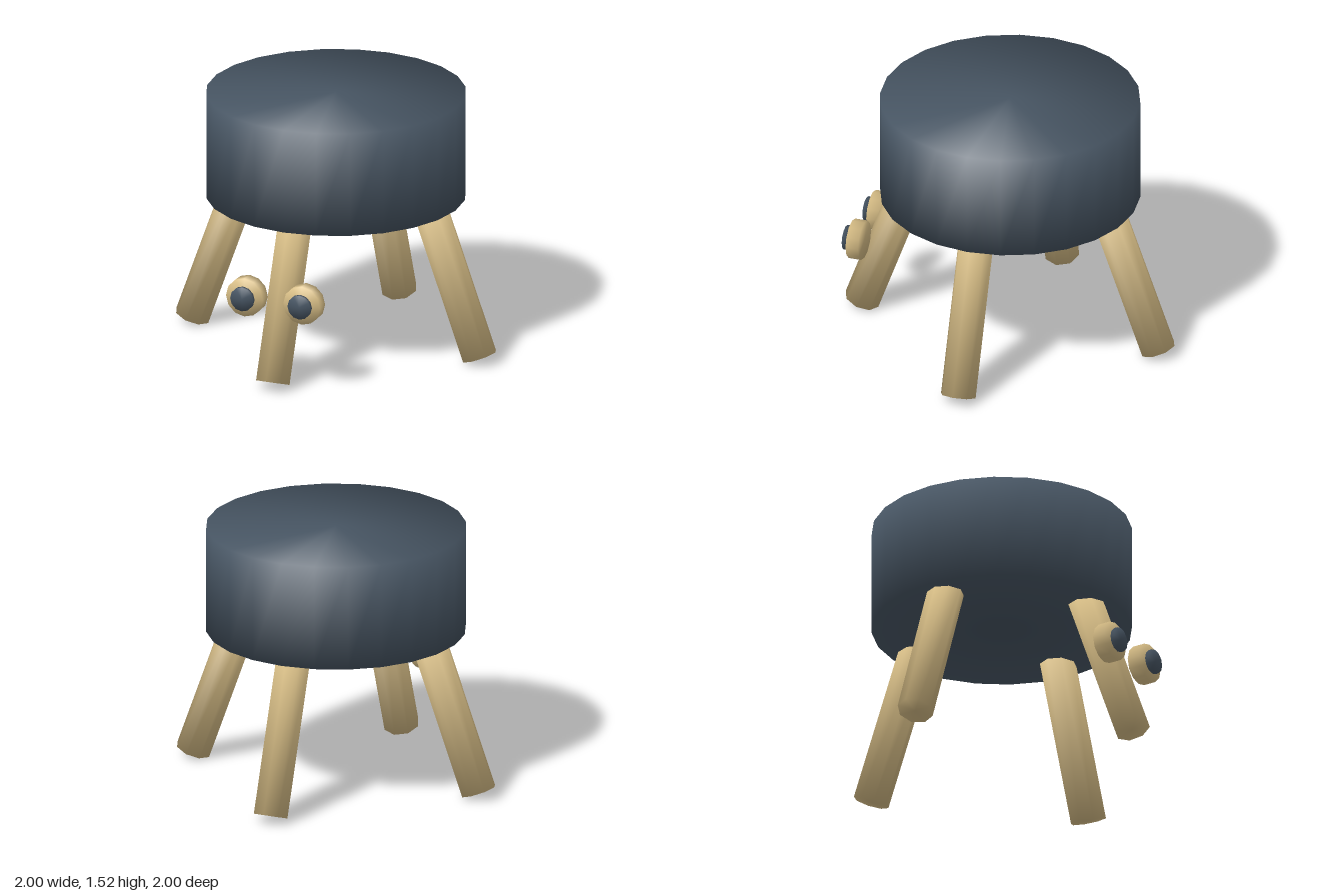
import * as THREE from 'three';

// Capped cylinder whose normals flow softly over the rims
function softCylinder(radius, height, sides) {
  const geo = new THREE.CylinderGeometry(radius, radius, height, sides);
  const pos = geo.attributes.position, n = new THREE.Vector3();
  for (let i = 0; i < pos.count; i++) {
    n.set(pos.getX(i) / radius, Math.sign(pos.getY(i)), pos.getZ(i) / radius).normalize();
    geo.attributes.normal.setXYZ(i, n.x, n.y, n.z);
  }
  return geo;
}

export function createModel() {
  const model = new THREE.Group();
  model.name = 'stool';

  const slate = new THREE.MeshStandardMaterial({ color: 0x475563 });
  slate.name = 'slate blue';
  const wood = new THREE.MeshStandardMaterial({ color: 0xdac088 });
  wood.name = 'pale wood';

  const add = (parent, name, geo, mat, x, y, z) => {
    const mesh = new THREE.Mesh(geo, mat);
    mesh.name = name;
    mesh.position.set(x, y, z);
    parent.add(mesh);
    return mesh;
  };

  // Thick round seat
  add(model, 'seat', softCylinder(0.75, 0.62, 24), slate, 0, 1.21, 0);

  // Four splayed legs
  const tilt = THREE.MathUtils.degToRad(20), legRadius = 0.105, legLength = 1;
  const legGeo = softCylinder(legRadius, legLength, 8);
  const footY = legRadius * Math.sin(tilt);
  const footZ = 1 - legRadius * Math.cos(tilt);
  ['frontLeg', 'leftLeg', 'backLeg', 'rightLeg'].forEach((name, i) => {
    const pivot = new THREE.Group();
    pivot.name = name;
    pivot.rotation.y = i * Math.PI / 2;
    const leg = add(pivot, name + 'Post', legGeo, wood, 0,
      footY + Math.cos(tilt) * legLength / 2,
      footZ - Math.sin(tilt) * legLength / 2);
    leg.rotation.x = -tilt;
    model.add(pivot);
  });

  // Pair of round eyes with floating pupils beside the front leg
  const eyeGeo = softCylinder(0.115, 0.075, 12).rotateX(Math.PI / 2);
  const pupilGeo = softCylinder(0.072, 0.022, 12).rotateX(Math.PI / 2);
  for (const [side, x] of [['left', 0.18], ['right', -0.18]]) {
    add(model, side + 'Eye', eyeGeo, wood, x, 0.527, 0.862);
    add(model, side + 'Pupil', pupilGeo, slate, x, 0.527, 0.927);
  }

  return model;
}
